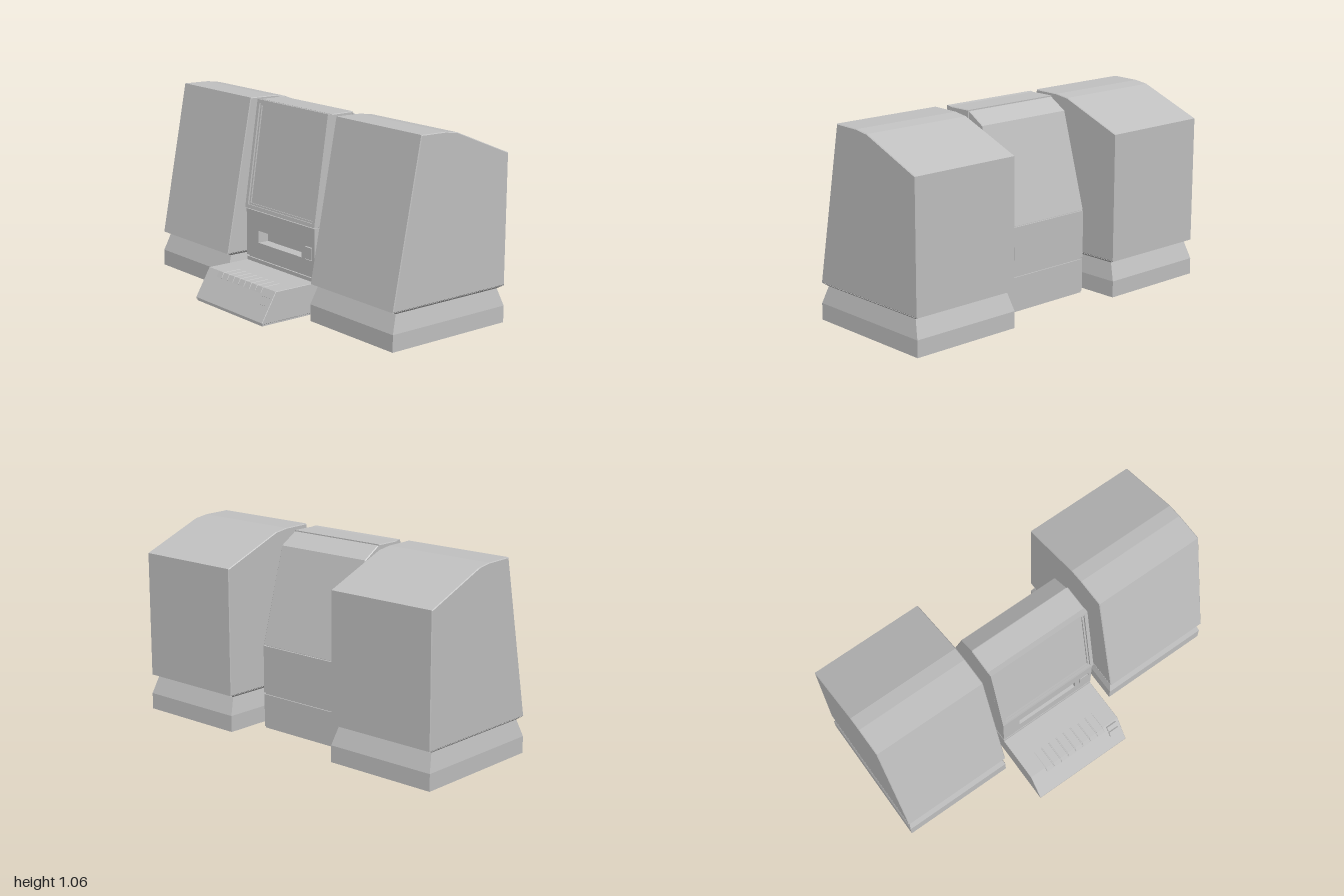
import * as THREE from 'three';

export function createModel() {
  const model = new THREE.Group();
  model.name = 'computerWithSpeakers';
  const grey = new THREE.MeshStandardMaterial({ color: 0xc0c0c0 });
  grey.name = 'plastic grey';

  const add = (parent, name, geometry, x = 0, y = 0, z = 0) => {
    const mesh = new THREE.Mesh(geometry, grey);
    mesh.name = name;
    mesh.position.set(x, y, z);
    parent.add(mesh);
    return mesh;
  };
  const box = (w, h, d) => new THREE.BoxGeometry(w, h, d);

  // Side profile of [z, y] points, extruded across x and centred on it
  const profile = (points, width, bevel = 0.004) => {
    const shape = new THREE.Shape(points.map(([z, y]) => new THREE.Vector2(z, y)));
    const g = new THREE.ExtrudeGeometry(shape, {
      depth: width - 2 * bevel, bevelEnabled: true, bevelSegments: 1,
      bevelSize: bevel, bevelThickness: bevel, bevelOffset: -bevel,
    });
    g.translate(0, 0, bevel - width / 2);
    g.rotateY(-Math.PI / 2);
    return g;
  };

  // Rectangular plate with rectangular holes [x0, y0, x1, y1], front face at z = 0
  const plate = (x0, y0, x1, y1, holes, depth) => {
    const rect = (P, a, b, c, d) => new P([[a, b], [c, b], [c, d], [a, d]].map((p) => new THREE.Vector2(...p)));
    const shape = rect(THREE.Shape, x0, y0, x1, y1);
    holes.forEach((h) => shape.holes.push(rect(THREE.Path, ...h)));
    const g = new THREE.ExtrudeGeometry(shape, { depth, bevelEnabled: false });
    g.translate(0, 0, -depth);
    return g;
  };

  // Plinth that narrows to a waist and flares out again under the cabinet
  const plinth = (w, d) => {
    const levels = [[0, 0, 0], [0.09, 0, 0], [0.185, 0.02, 0.035], [0.2, 0, 0]];
    const g = new THREE.BoxGeometry(w, 3, d, 1, 3, 1).toNonIndexed();
    const p = g.attributes.position;
    for (let i = 0; i < p.count; i++) {
      const [y, ix, iz] = levels[Math.round(p.getY(i) + 1.5)];
      p.setXYZ(i, p.getX(i) - Math.sign(p.getX(i)) * ix, y, p.getZ(i) - Math.sign(p.getZ(i)) * iz);
    }
    g.computeVertexNormals();
    return g;
  };

  // Two speaker cabinets
  const cabinetProfile = [[0.255, 0.2], [0.088, 1.056], [-0.07, 1.053], [-0.15, 1.041], [-0.51, 0.895], [-0.51, 0.2]];
  for (const side of [-1, 1]) {
    const speaker = new THREE.Group();
    speaker.name = side > 0 ? 'leftSpeaker' : 'rightSpeaker';
    speaker.position.x = side * 0.681;
    model.add(speaker);
    add(speaker, 'cabinet', profile(cabinetProfile, 0.638), 0, 0, 0);
    add(speaker, 'plinth', plinth(0.638, 0.765), 0, 0, -0.1275);
  }

  // Central computer
  const computer = new THREE.Group();
  computer.name = 'computer';
  computer.position.x = -0.01;
  model.add(computer);
  const W = 0.592;

  // Keyboard base running back under the case
  add(computer, 'basePlate', box(W - 0.01, 0.012, 0.835), 0, 0.006, 0.0875);
  add(computer, 'keyboardBase', profile([
    [0.51, 0.01], [0.51, 0.018], [0.42, 0.17], [0.165, 0.17], [0.165, 0.19], [-0.335, 0.19], [-0.335, 0.01],
  ], W, 0.002));

  // Row of eight keys overhanging the front slope
  const keyGeometry = profile([[0.315, 0.15], [0.315, 0.172], [0.425, 0.172], [0.441, 0.142], [0.42, 0.142]], 0.046, 0.002);
  for (let i = 0; i < 8; i++) add(computer, 'key', keyGeometry, -0.176 + i * 0.0495, 0, 0);

  // Two small buttons on the slope
  for (const [y, z] of [[0.147, 0.436], [0.11, 0.458]]) {
    add(computer, 'slopeButton', box(0.062, 0.034, 0.016), 0.245, y, z).rotation.x = -0.535;
  }

  // Seam, then drive section with a recessed slot
  add(computer, 'lowerSeam', box(W - 0.016, 0.014, 0.484), 0, 0.195, -0.086);
  add(computer, 'driveBody', box(W, 0.26, 0.435), 0, 0.33, -0.1175);
  add(computer, 'drivePanel', plate(-W / 2, 0.2, W / 2, 0.46, [[-0.19, 0.285, 0.185, 0.353], [0.214, 0.283, 0.276, 0.355]], 0.065), 0, 0, 0.165);
  add(computer, 'driveButton', box(0.054, 0.064, 0.065), 0.245, 0.319, 0.135);
  add(computer, 'upperSeam', box(W - 0.016, 0.014, 0.47), 0, 0.463, -0.09);

  // Monitor: rear housing, slightly wider front shell, tilted screen frame
  add(computer, 'monitorRear', profile([
    [-0.08, 0.466], [-0.08, 1.048], [-0.09, 1.046], [-0.188, 0.985], [-0.335, 0.466],
  ], W));
  add(computer, 'monitorShell', profile([
    [0.145, 0.466], [0.056, 1.053], [-0.085, 1.053], [-0.085, 0.466],
  ], 0.6));
  const screen = new THREE.Group();
  screen.name = 'screen';
  screen.position.set(0, 0.761, 0.127);
  screen.rotation.x = -Math.atan2(0.09, 0.59);
  computer.add(screen);
  add(screen, 'screenFrame', plate(-0.3, -0.298, 0.3, 0.298, [[-0.28, -0.278, 0.28, 0.278]], 0.03));
  add(screen, 'screenLip', plate(-0.28, -0.278, 0.28, 0.278, [[-0.27, -0.268, 0.27, 0.268]], 0.018), 0, 0, -0.01);
  add(screen, 'screenGlass', box(0.56, 0.556, 0.008), 0, 0, -0.022);

  return model;
}
